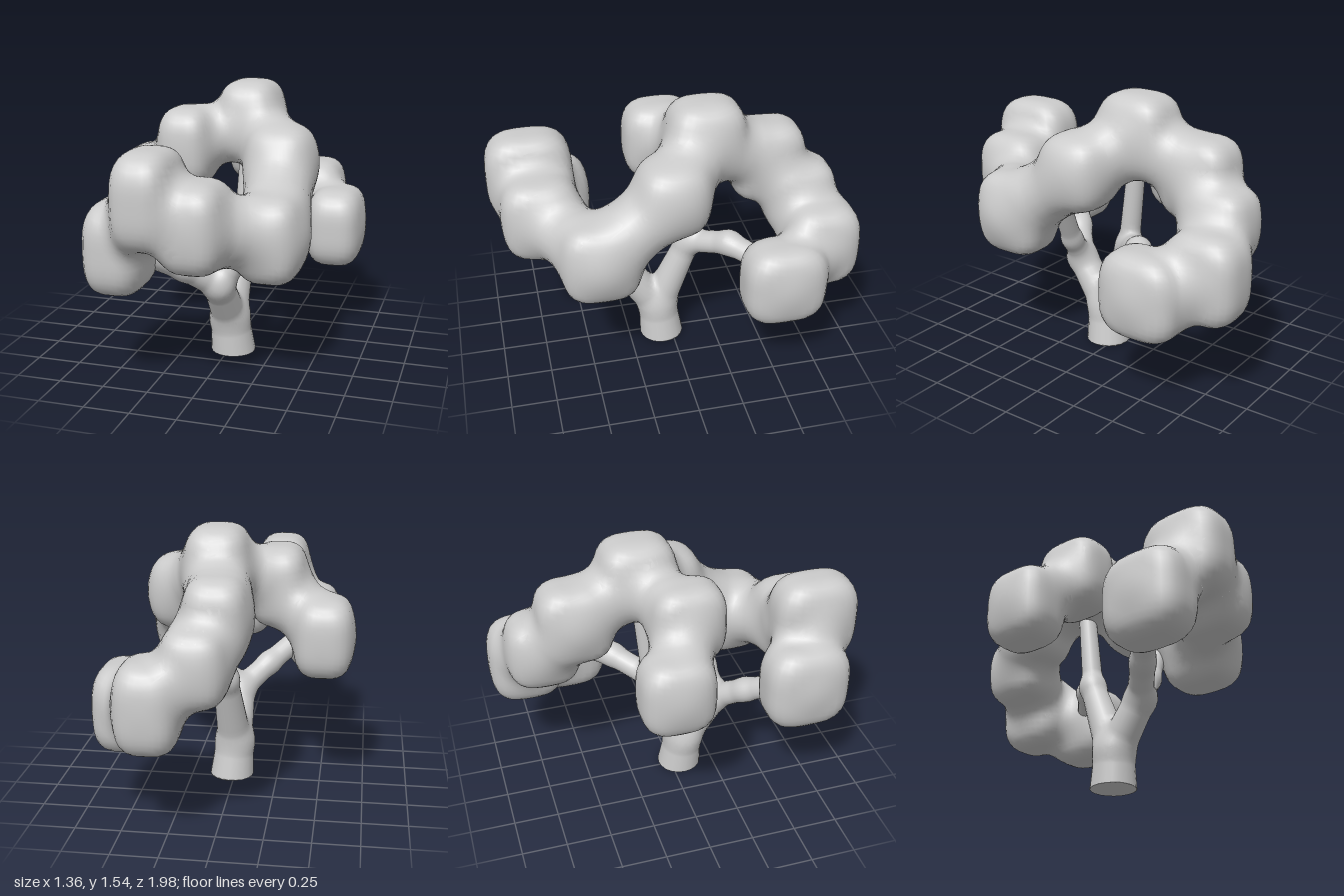
import * as THREE from 'three';

const material = new THREE.MeshStandardMaterial({ color: 0xcccccc });
const vec = (a) => new THREE.Vector3(...a);
const GROUND = 0.005;
const SQUARENESS = 3.2;
const power = (x, y, z) =>
  (Math.abs(x) ** SQUARENESS + Math.abs(y) ** SQUARENESS + Math.abs(z) ** SQUARENESS) ** (1 / SQUARENESS);

// A squarish rounded clump: geometry plus its approximate distance function
function clump(name, centre, half) {
  const geometry = new THREE.SphereGeometry(1, 36, 24);
  const position = geometry.attributes.position;
  const v = new THREE.Vector3();
  for (let i = 0; i < position.count; i++) {
    v.fromBufferAttribute(position, i);
    v.divideScalar(power(v.x, v.y, v.z));
    position.setXYZ(i, v.x, v.y, v.z);
  }
  geometry.scale(...half).translate(...centre);
  const [cx, cy, cz] = centre, [hx, hy, hz] = half;
  const distance = (p) =>
    (power((p.x - cx) / hx, (p.y - cy) / hy, (p.z - cz) / hz) - 1) * Math.min(...half);
  return { name, geometry, distance };
}

// A tapered piece from a to b with round ends
function rod(name, a, b, ra, rb) {
  const start = vec(a), axis = vec(b).sub(start), length = axis.length();
  const geometry = new THREE.CapsuleGeometry(1, length, 6, 20, 16);
  const position = geometry.attributes.position;
  for (let i = 0; i < position.count; i++) {
    const y = position.getY(i), along = THREE.MathUtils.clamp(y / length + 0.5, 0, 1);
    const r = THREE.MathUtils.lerp(ra, rb, along);
    position.setXYZ(i, position.getX(i) * r,
      along * length + (y - (along - 0.5) * length) * r, position.getZ(i) * r);
  }
  geometry.applyQuaternion(new THREE.Quaternion().setFromUnitVectors(
    new THREE.Vector3(0, 1, 0), axis.clone().normalize()));
  geometry.translate(...a);
  const q = new THREE.Vector3();
  const distance = (p) => {
    const t = THREE.MathUtils.clamp(q.subVectors(p, start).dot(axis) / length ** 2, 0, 1);
    return q.addScaledVector(axis, -t).length() - THREE.MathUtils.lerp(ra, rb, t);
  };
  return { name, geometry, distance };
}

// Moves the outer vertices of all parts onto one blended skin, so that
// neighbouring parts flow into each other; the skin is cut flat at the ground
function fuse(groupName, parts, blend) {
  const field = (p) => parts.reduce((sum, { distance }) => {
    const d = distance(p);
    const h = Math.max(blend - Math.abs(sum - d), 0) / blend;
    return Math.min(sum, d) - h * h * blend / 4;
  }, 10);

  const e = 0.002, probe = new THREE.Vector3();
  const slope = (p, axis) => {
    probe.copy(p)[axis] += e;
    const ahead = field(probe);
    probe.copy(p)[axis] -= e;
    return (ahead - field(probe)) / (2 * e);
  };
  const gradient = (p) => new THREE.Vector3(slope(p, 'x'), slope(p, 'y'), slope(p, 'z'));

  const group = new THREE.Group();
  group.name = groupName;
  for (const { name, geometry } of parts) {
    const { position, normal } = geometry.attributes;
    const p = new THREE.Vector3();
    for (let i = 0; i < position.count; i++) {
      p.fromBufferAttribute(position, i);
      if (field(p) < -0.06) continue; // buried inside a neighbour
      for (let step = 0; step < 4; step++) {
        const g = gradient(p);
        p.addScaledVector(g, -field(p) / Math.max(g.lengthSq(), 0.2));
      }
      const n = p.y < GROUND - 0.02 ? new THREE.Vector3(0, -1, 0) : gradient(p).normalize();
      position.setXYZ(i, p.x, Math.max(p.y, GROUND), p.z);
      normal.setXYZ(i, n.x, n.y, n.z);
    }
    const mesh = new THREE.Mesh(geometry, material);
    mesh.name = name;
    group.add(mesh);
  }
  return group;
}

export function createModel() {
  const model = new THREE.Group();
  model.name = 'tree';

  // Foliage clumps: centre and half size
  const clumps = {
    crown: [[0.06, 1.31, -0.18], [0.175, 0.23, 0.215]],
    leftShoulder: [[0.29, 1.12, 0.05], [0.18, 0.205, 0.19]],
    frontLeft: [[0.34, 0.82, 0.45], [0.17, 0.235, 0.215]],
    frontMiddle: [[0.02, 0.925, 0.72], [0.17, 0.235, 0.215]],
    frontHigh: [[-0.215, 1.055, 0.75], [0.16, 0.255, 0.24]],
    frontRight: [[-0.415, 0.77, 0.64], [0.163, 0.25, 0.24]],
    rightInner: [[-0.25, 1.18, 0.01], [0.155, 0.225, 0.205]],
    rightOuter: [[-0.51, 0.93, -0.125], [0.162, 0.222, 0.203]],
    backHigh: [[0.015, 1.125, -0.54], [0.17, 0.23, 0.21]],
    backMiddle: [[0.1, 0.93, -0.71], [0.17, 0.21, 0.2]],
    backLeft: [[0.325, 0.735, -0.78], [0.17, 0.245, 0.21]],
    backEnd: [[0.5, 0.635, -0.52], [0.165, 0.235, 0.23]],
  };
  // Bridges joining neighbouring clumps
  const bridges = [
    ['crown', 'leftShoulder', 0.18], ['leftShoulder', 'frontLeft', 0.18],
    ['frontLeft', 'frontMiddle', 0.175], ['frontMiddle', 'frontHigh', 0.17],
    ['frontHigh', 'frontRight', 0.15], ['crown', 'rightInner', 0.155],
    ['rightInner', 'rightOuter', 0.155], ['crown', 'backHigh', 0.165],
    ['backHigh', 'backMiddle', 0.165], ['backMiddle', 'backLeft', 0.165],
    ['backLeft', 'backEnd', 0.155],
  ];
  const foliage = fuse('foliage', [
    ...Object.entries(clumps).map(([name, [centre, half]]) => clump(`${name}Clump`, centre, half)),
    ...bridges.map(([a, b, r]) => rod('foliageBridge', clumps[a][0], clumps[b][0], r, r)),
  ], 0.065);

  // Trunk, its two stems and the branches into the foliage
  const base = [0.02, 0, 0.056], fork = [0.005, 0.2, 0.075];
  const frontFork = [-0.005, 0.46, 0.265], backFork = [0.035, 0.64, -0.1];
  const rightBend = [-0.16, 0.585, 0.4], leftBend = [0.11, 0.62, 0.25];
  const backBend = [0.22, 0.72, -0.29];
  const wood = fuse('trunkAndBranches', [
    rod('trunk', base, fork, 0.128, 0.11),
    rod('frontStem', fork, frontFork, 0.1, 0.085),
    rod('frontRightBranch', frontFork, rightBend, 0.075, 0.065),
    rod('frontRightBranchEnd', rightBend, [-0.38, 0.74, 0.6], 0.065, 0.065),
    rod('frontLeftBranch', frontFork, leftBend, 0.075, 0.055),
    rod('frontLeftBranchEnd', leftBend, [0.29, 0.95, 0.2], 0.055, 0.055),
    rod('backStem', fork, backFork, 0.1, 0.07),
    rod('backStemEnd', backFork, [0.05, 1.15, -0.16], 0.06, 0.05),
    rod('backBranch', backFork, backBend, 0.065, 0.065),
    rod('backBranchEnd', backBend, [0.46, 0.68, -0.5], 0.065, 0.06),
  ], 0.04);

  model.add(wood, foliage);
  return model;
}
